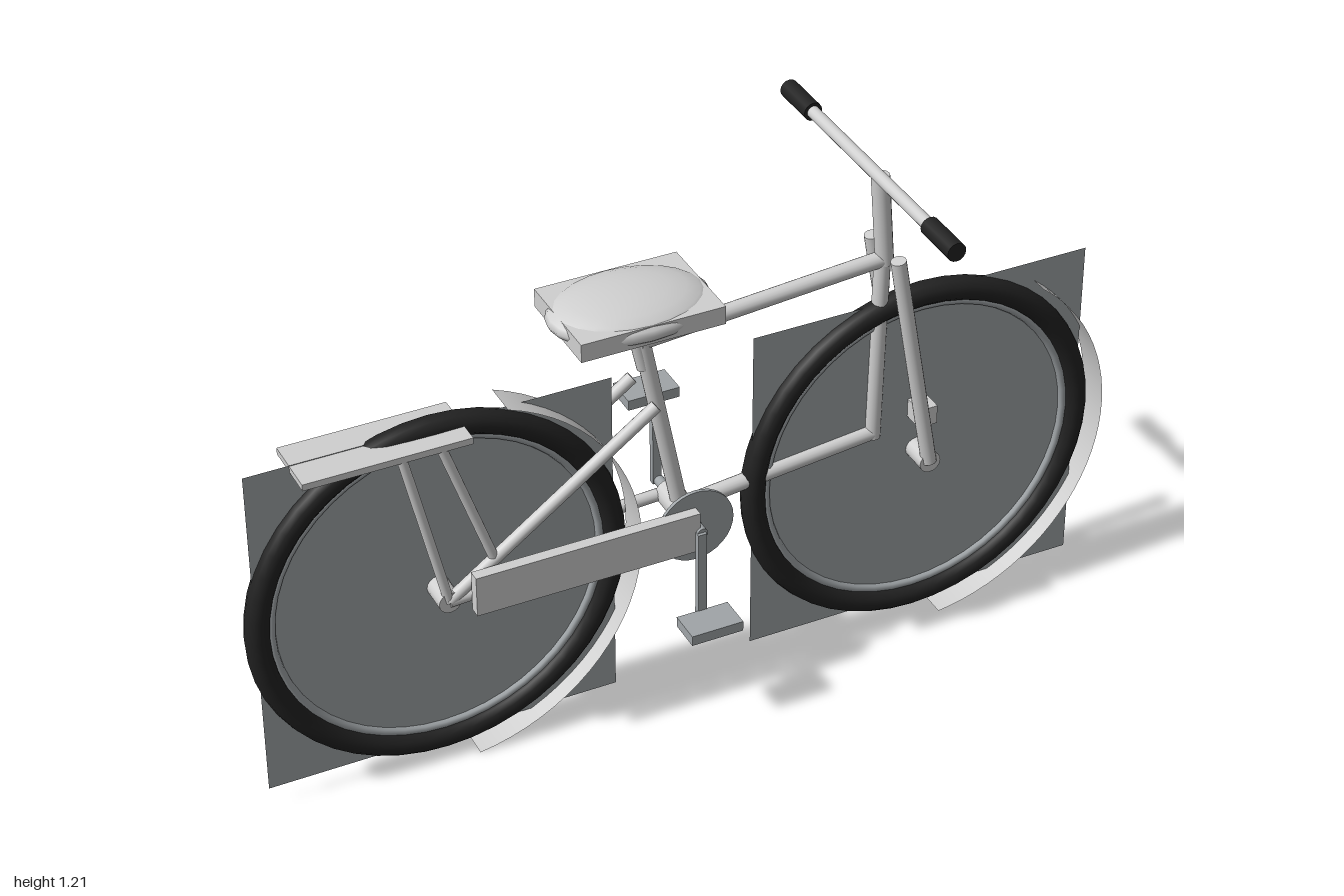
import * as THREE from 'three';

export function createModel() {
  const bike = new THREE.Group();
  bike.name = 'bicycle';

  const mat = (name, color, side = THREE.FrontSide) => {
    const m = new THREE.MeshStandardMaterial({ color, side });
    m.name = name;
    return m;
  };
  const silver = mat('silver', 0xd0d0d0, THREE.DoubleSide);
  const grey = mat('grey', 0xa0a5a8, THREE.DoubleSide);
  const black = mat('black', 0x222222);

  const add = (name, geo, material, x = 0, y = 0, z = 0) => {
    const m = new THREE.Mesh(geo, material);
    m.name = name;
    m.position.set(x, y, z);
    bike.add(m);
    return m;
  };
  const box = (name, material, w, h, d, x, y, z) =>
    add(name, new THREE.BoxGeometry(w, h, d), material, x, y, z);

  // Round tube between two points
  const up = new THREE.Vector3(0, 1, 0);
  const tube = (name, a, b, r, material = silver) => {
    const p = new THREE.Vector3(...a), q = new THREE.Vector3(...b);
    const dir = q.clone().sub(p);
    const m = add(name, new THREE.CylinderGeometry(r, r, dir.length(), 16), material);
    m.position.copy(p).add(q).multiplyScalar(0.5);
    m.quaternion.setFromUnitVectors(up, dir.normalize());
    return m;
  };

  const rearX = -0.573, frontX = 0.552, axleY = 0.447, rad = Math.PI / 180;

  // Wheels: tyre, rim, square spoke sheet, hub and fender strip
  const wheel = (side, x, fenderStart, fenderEnd) => {
    add(side + 'Tyre', new THREE.TorusGeometry(0.398, 0.027, 12, 48), black, x, axleY);
    add(side + 'Rim', new THREE.TorusGeometry(0.368, 0.01, 8, 48), grey, x, axleY);
    add(side + 'SpokeSheet', new THREE.PlaneGeometry(0.8, 0.8), grey, x, axleY);
    tube(side + 'Hub', [x, axleY, -0.065], [x, axleY, 0.065], 0.025);
    const strip = new THREE.CylinderGeometry(0.447, 0.447, 0.08, 32, 1, true,
      (fenderStart + 90) * rad, (fenderEnd - fenderStart) * rad);
    strip.rotateX(Math.PI / 2);
    add(side + 'Fender', strip, silver, x, axleY);
  };
  wheel('rear', rearX, -82, 70);
  wheel('front', frontX, -83, 52);

  // Frame
  tube('topTube', [-0.11, 0.915, 0], [0.455, 0.96, 0], 0.018);
  tube('seatTube', [-0.105, 0.92, 0], [-0.018, 0.472, 0], 0.018);
  tube('seatPost', [-0.133, 1.0, 0], [-0.1, 0.85, 0], 0.015);
  tube('downTube', [-0.018, 0.472, 0], [0.445, 0.522, 0], 0.018);
  tube('frontTube', [0.442, 0.51, 0], [0.452, 0.97, 0], 0.018);
  tube('steeringStem', [0.457, 0.95, 0], [0.44, 1.165, 0], 0.02);
  tube('bottomBracket', [-0.018, 0.472, -0.06], [-0.018, 0.472, 0.06], 0.03);

  // Paired stays, fork legs and carrier supports
  for (const s of [-1, 1]) {
    const z = 0.058 * s;
    tube('forkLeg', [0.457, 0.985, z], [frontX, axleY, z], 0.017);
    tube('seatStay', [-0.1, 0.79, z], [rearX, axleY, z], 0.014);
    tube('chainStay', [-0.018, 0.472, z], [rearX, axleY, z], 0.014);
    tube('carrierSupportRear', [-0.66, 0.835, z], [rearX, axleY, z], 0.011);
    tube('carrierSupportFront', [-0.575, 0.835, z], [-0.47, 0.525, z], 0.011);
  }
  box('carrier', silver, 0.365, 0.015, 0.14, -0.692, 0.838, 0);
  box('wheelBlock', silver, 0.045, 0.045, 0.1, 0.55, 0.558, 0);

  // Seat: slab with a cushion bulging through it
  box('seatSlab', silver, 0.32, 0.042, 0.228, -0.13, 1.008, 0);
  add('seatCushion', new THREE.SphereGeometry(1, 24, 12), silver, -0.133, 1.01)
    .scale.set(0.178, 0.045, 0.125);

  // Handlebar with grips
  tube('handlebar', [0.415, 1.19, -0.3], [0.415, 1.19, 0.3], 0.014);
  for (const s of [-1, 1])
    tube('grip', [0.415, 1.19, 0.25 * s], [0.415, 1.19, 0.36 * s], 0.021, black);

  // Chain guard, chainring, cranks and pedals
  box('chainGuard', silver, 0.51, 0.096, 0.026, -0.275, 0.472, 0.09);
  const ring = new THREE.CylinderGeometry(0.087, 0.087, 0.008, 32).rotateX(Math.PI / 2);
  add('chainring', ring, grey, -0.018, 0.472, 0.075);
  tube('crankAxle', [-0.018, 0.472, -0.11], [-0.018, 0.472, 0.11], 0.012, grey);
  for (const s of [-1, 1]) {
    box('crankArm', grey, 0.02, 0.22, 0.015, -0.022, 0.47 - 0.105 * s, 0.11 * s);
    box('pedal', grey, 0.12, 0.024, 0.075, -0.022, 0.47 - 0.206 * s, 0.153 * s);
  }
  return bike;
}
